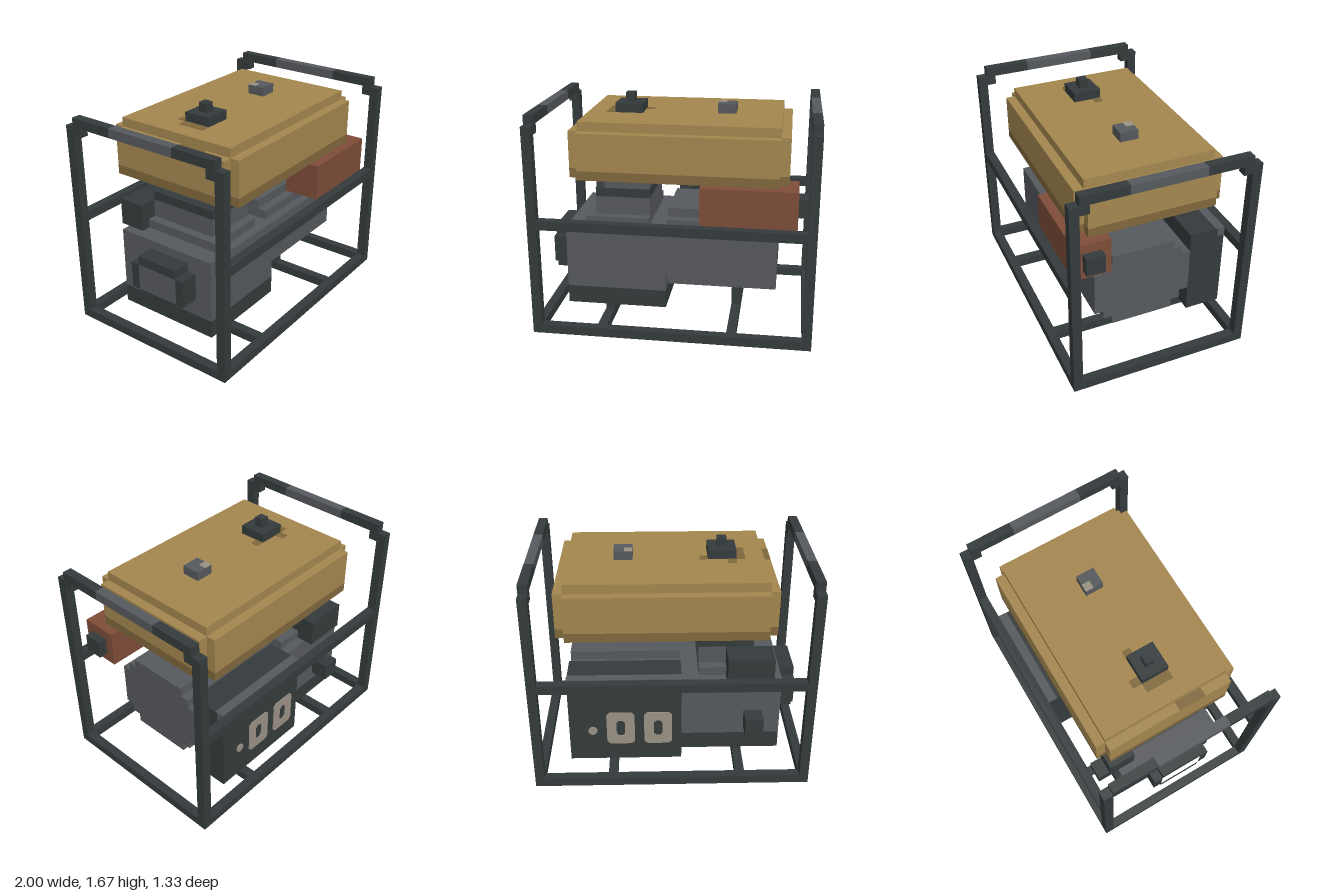
import * as THREE from 'three';

const U = 1 / 15; // one block
const mat = (name, color) => {
  const m = new THREE.MeshStandardMaterial({ color });
  m.name = name;
  return m;
};

export function createModel() {
  const dark = mat('charcoal', 0x343b3c);
  const grey = mat('steel grey', 0x56595d);
  const gold = mat('tank gold', 0xa4874f);
  const umber = mat('dark gold', 0x80683c);
  const rust = mat('rust red', 0x7e4d39);
  const beige = mat('beige', 0x9a9184);

  const model = new THREE.Group();
  model.name = 'generator';
  const group = (name) => {
    const g = new THREE.Group();
    g.name = name;
    model.add(g);
    return g;
  };
  // Box from corner to corner, measured in blocks
  const box = (parent, name, m, x0, x1, y0, y1, z0, z1) => {
    const mesh = new THREE.Mesh(new THREE.BoxGeometry((x1 - x0) * U, (y1 - y0) * U, (z1 - z0) * U), m);
    mesh.position.set((x0 + x1) / 2 * U, (y0 + y1) / 2 * U, (z0 + z1) / 2 * U);
    mesh.name = name;
    parent.add(mesh);
  };
  // Stepped disc outline around (0, 0); insets are per column from the edge
  const steppedPoints = (r, insets) => {
    const q = [];
    insets.forEach((inset, i) => q.push([-r + i, r - inset], [-r + i + 1, r - inset]));
    const top = [...q, ...q.map(([a, b]) => [-a, b]).reverse()];
    return [...top, ...top.map(([a, b]) => [-a, -b])].map(([a, b]) => new THREE.Vector2(a * U, b * U));
  };
  // Stepped drum lying along x
  const drum = (parent, name, m, x0, x1, y, z, outer, inner) => {
    const shape = new THREE.Shape(steppedPoints(...outer));
    if (inner) shape.holes.push(new THREE.Path(steppedPoints(...inner)));
    const geo = new THREE.ExtrudeGeometry(shape, { depth: (x1 - x0) * U, bevelEnabled: false });
    geo.rotateY(Math.PI / 2);
    const mesh = new THREE.Mesh(geo, m);
    mesh.position.set(x0 * U, y * U, z * U);
    mesh.name = name;
    parent.add(mesh);
  };

  // Tubular frame
  const frame = group('frame');
  for (const s of [-1, 1]) {
    const zs = (a, b) => (s > 0 ? [a, b] : [-b, -a]);
    for (const x of [-15, 14]) {
      box(frame, 'post', dark, x, x + 1, 0, 23, ...zs(9, 10));
      box(frame, 'handleCorner', dark, x, x + 1, 22, 24, ...zs(8, 9));
      box(frame, 'handleArm', dark, x, x + 1, 23, 24, ...zs(4, 8));
    }
    box(frame, 'bottomRail', dark, -14, 14, 0, 1, ...zs(9, 10));
    box(frame, 'middleRail', dark, -14, 14, 12, 13, ...zs(9, 10));
    box(frame, 'engineFoot', dark, -8, -7, 1, 2, ...zs(4, 5));
    box(frame, 'alternatorFoot', dark, 6, 7, 1, 3, ...zs(1, 2));
  }
  for (const x of [-15, 14]) {
    box(frame, 'handleGrip', grey, x, x + 1, 23, 24, -4, 4);
    box(frame, 'sideRail', dark, x, x + 1, 0, 1, -9, 9);
  }
  for (const x of [-8, 6]) box(frame, 'crossBar', dark, x, x + 1, 0, 1, -9, 9);

  // Engine
  const engine = group('engine');
  box(engine, 'oilPan', dark, -12, -1, 2, 4, -6, 6);
  box(engine, 'crankcase', grey, -12, -1, 4, 11, -6, 6);
  box(engine, 'cylinderBase', grey, -10, -3, 11, 12, -5, 5);
  box(engine, 'cylinder', grey, -9, -3, 12, 14, -4, 4);
  box(engine, 'lowerFin', dark, -9, -3, 14, 15, -4, 4);
  box(engine, 'cylinderHead', grey, -8, -3, 15, 16, -4, 4);
  box(engine, 'upperFin', dark, -8, -3, 16, 17, -4, 4);
  box(engine, 'airFilter', dark, -11, -6, 11, 14, -7, -4);
  box(engine, 'oilFiller', dark, -10, -8, 5, 7, -8, -6);

  // Recoil starter on the engine end
  const starter = group('recoilStarter');
  drum(starter, 'starterRing', dark, -14, -12, 7.5, 0.5, [3.5, [2, 1]], [2.5, [1]]);
  drum(starter, 'starterHub', grey, -13, -12, 7.5, 0.5, [2.5, [1]]);

  // Alternator drum
  drum(model, 'alternator', grey, -1, 11, 8.5, 0.5, [5.5, [3, 2, 1]]);

  // Control panel on the back
  const panel = group('controlPanel');
  box(panel, 'panelBox', dark, -1, 11, 3, 13, -9, -5);
  box(panel, 'panelTopTrim', grey, -1, 11, 13, 13.06, -9, -8);
  box(panel, 'panelEndTrim', grey, 11, 11.06, 12.1, 13, -9, -8.2);
  const rounded = (P, w, h, c) => new P([
    [-w, -h + c], [-w + c, -h], [w - c, -h], [w, -h + c],
    [w, h - c], [w - c, h], [-w + c, h], [-w, h - c],
  ].map(([a, b]) => new THREE.Vector2(a * U, b * U)));
  for (const x of [1.5, 5.5]) {
    const plate = rounded(THREE.Shape, 1.5, 2, 0.35);
    plate.holes.push(rounded(THREE.Path, 0.45, 0.95, 0.25));
    const socket = new THREE.Mesh(new THREE.ExtrudeGeometry(plate, { depth: 0.006, bevelEnabled: false }), beige);
    socket.position.set(x * U, 7 * U, -9 * U - 0.006);
    socket.name = 'socketPlate';
    panel.add(socket);
  }
  const button = new THREE.Mesh(new THREE.CylinderGeometry(0.5 * U, 0.5 * U, 0.008, 10), beige);
  button.rotation.x = Math.PI / 2;
  button.position.set(8.5 * U, 6.7 * U, -9 * U - 0.004);
  button.name = 'button';
  panel.add(button);

  // Muffler and exhaust
  const muffler = group('muffler');
  box(muffler, 'mufflerBody', rust, 3, 13, 13, 17, 5, 9);
  box(muffler, 'exhaust', dark, 13, 14, 14, 16, 6, 8);

  // Fuel tank: notched corners, dark lower band, raised top
  const tank = group('fuelTank');
  for (const [m, name, y0, y1] of [[umber, 'tankBand', 17, 18], [gold, 'tankBody', 18, 22]]) {
    box(tank, name, m, -10, 11, y0, y1, -8, 8);
    box(tank, name + 'WestEnd', m, -11, -10, y0, y1, -7, 7);
    box(tank, name + 'EastEnd', m, 11, 12, y0, y1, -7, 7);
  }
  box(tank, 'tankTop', gold, -10, 11, 22, 23, -7, 7);
  box(tank, 'cap', dark, -7, -4, 23, 24, -1, 2);
  box(tank, 'capKnob', dark, -6, -5, 24, 25, 0, 1);
  box(tank, 'gauge', grey, 4, 6, 23, 24, -1, 1);
  box(tank, 'gaugeGlass', beige, 4, 4.9, 24, 24.05, -1, -0.1);
  // Stains round the cap and on the ledge
  box(tank, 'stain', umber, -8, -7, 23, 23.04, -1, 2);
  box(tank, 'stain', umber, -7, -6.1, 23, 23.04, -2, -1);
  box(tank, 'stain', umber, -4, -3.1, 23, 23.04, -1, -0.1);
  box(tank, 'stain', umber, -11, -10, 22, 22.04, 1, 4);

  return model;
}
